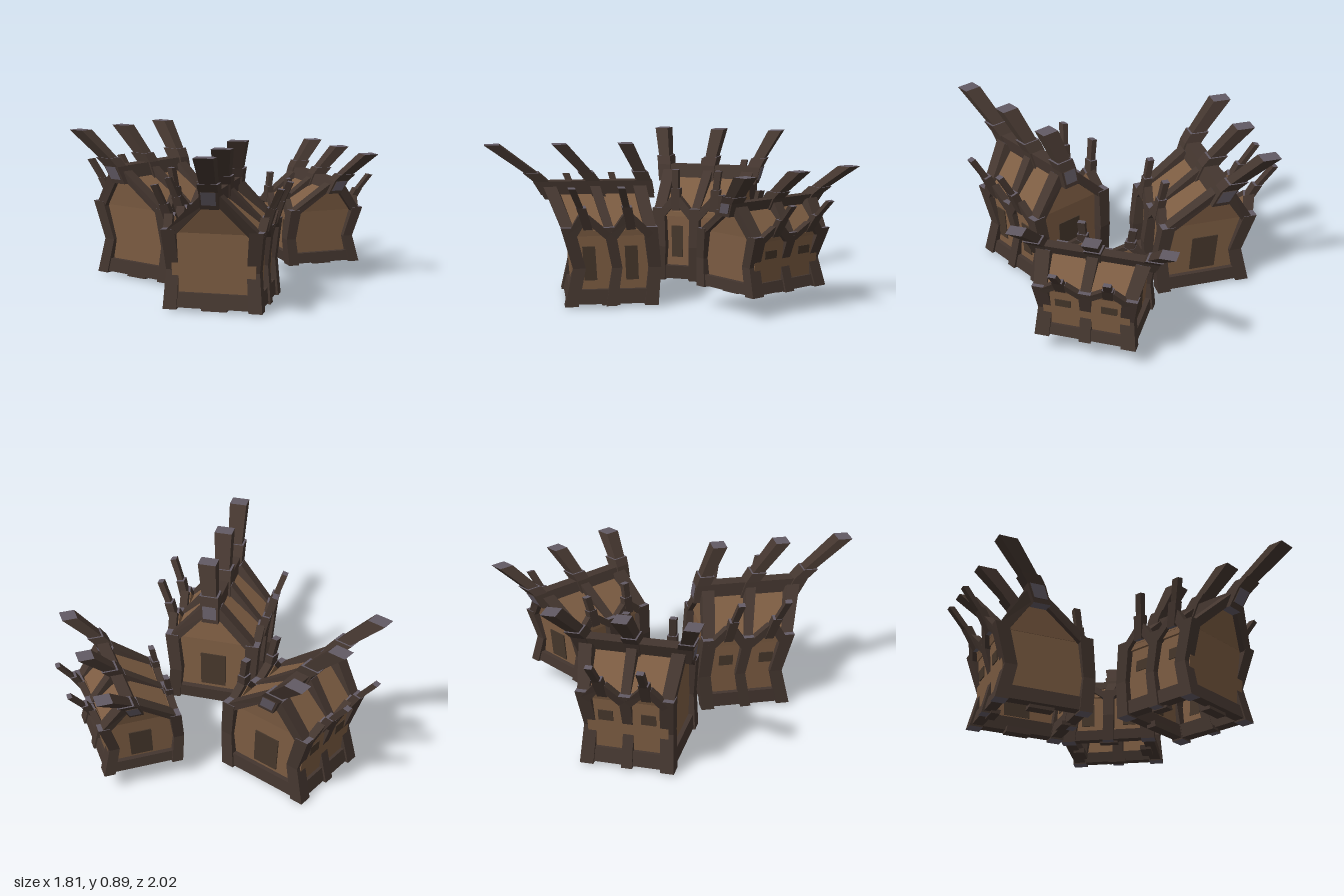
import * as THREE from 'three';

const mat = (name, color, side = THREE.FrontSide) => {
  const m = new THREE.MeshStandardMaterial({ color, side });
  m.name = name;
  return m;
};

// Radial flare by height: posts pinch at the waist, everything spreads at the top
const FLARE = [[0, 1], [0.22, 0.94], [0.45, 1.02], [0.58, 1.08], [0.68, 1.15], [0.73, 1.22], [0.89, 1.48]];
const flareAt = (y) => {
  if (y <= 0) return 1;
  for (let i = 1; i < FLARE.length; i++) {
    const [y0, f0] = FLARE[i - 1], [y1, f1] = FLARE[i];
    if (y <= y1) return f0 + (f1 - f0) * (y - y0) / (y1 - y0);
  }
  return FLARE[FLARE.length - 1][1];
};
// Wall panels stay flat from sill to eave
const WALL_Y0 = 0.06, WALL_Y1 = 0.45;
const flatFlareAt = (y) =>
  THREE.MathUtils.mapLinear(y, WALL_Y0, WALL_Y1, flareAt(WALL_Y0), flareAt(WALL_Y1));

// Box cut at every height where the flare bends
function cutBox(w, y0, y1, d) {
  const levels = [y0, ...FLARE.map((p) => p[0]).filter((y) => y > y0 + 0.005 && y < y1 - 0.005), y1];
  const n = levels.length - 1;
  const g = new THREE.BoxGeometry(w, 1, d, 1, n, 1);
  const p = g.attributes.position;
  for (let i = 0; i < p.count; i++) p.setY(i, levels[Math.round((p.getY(i) + 0.5) * n)]);
  return g;
}

// Thin plate standing between two heights
const plate = (w, y0, y1, d) => new THREE.BoxGeometry(w, y1 - y0, d).translate(0, (y0 + y1) / 2, 0);

// Four walls, open above and below
const openWalls = (w, d) => new THREE.CylinderGeometry(Math.SQRT1_2, Math.SQRT1_2, 1, 4, 1, true)
  .rotateY(Math.PI / 4).scale(w, WALL_Y1 - WALL_Y0, d).translate(0, (WALL_Y0 + WALL_Y1) / 2, 0);

// Triangular prism running along z
function prism(half, y0, y1, length) {
  const s = new THREE.Shape([new THREE.Vector2(-half, y0), new THREE.Vector2(half, y0), new THREE.Vector2(0, y1)]);
  return new THREE.ExtrudeGeometry(s, { depth: length, bevelEnabled: false }).translate(0, 0, -length / 2);
}

// Square beam between two points
function strut(a, b, w, d) {
  const A = new THREE.Vector3(...a), B = new THREE.Vector3(...b);
  const dir = B.clone().sub(A);
  const g = new THREE.BoxGeometry(w, dir.length(), d);
  g.applyQuaternion(new THREE.Quaternion().setFromUnitVectors(new THREE.Vector3(0, 1, 0), dir.normalize()));
  return g.translate((A.x + B.x) / 2, (A.y + B.y) / 2, (A.z + B.z) / 2);
}

function buildHouse(spec, M) {
  const house = new THREE.Group();
  house.name = spec.name;
  const place = new THREE.Matrix4().compose(
    new THREE.Vector3(spec.x, spec.lift, spec.z),
    new THREE.Quaternion().setFromAxisAngle(new THREE.Vector3(0, 1, 0), spec.turn),
    new THREE.Vector3(...spec.scale));
  const [qx, qz] = spec.pivot;

  // Place a part in the world, then flare it away from the pivot
  const add = (name, geo, material, flare = flareAt) => {
    const g = geo.index ? geo.toNonIndexed() : geo;
    const p = g.attributes.position, v = new THREE.Vector3();
    for (let i = 0; i < p.count; i++) {
      v.fromBufferAttribute(p, i);
      const f = flare(v.y);
      v.applyMatrix4(place);
      p.setXYZ(i, qx + (v.x - qx) * f, v.y, qz + (v.z - qz) * f);
    }
    g.computeVertexNormals();
    const m = new THREE.Mesh(g, material);
    m.name = name;
    house.add(m);
  };
  const b = M.beam, c = M.cap;
  const endsY = [b, b, c, c, b, b], endsZ = [b, b, b, b, c, c];

  // Flat walls, open underneath, and the roof
  add('walls', openWalls(0.46, 0.44), M.wall, flatFlareAt);
  add('roof', prism(0.25, 0.43, 0.63, 0.45), M.wall);

  // Sill frame and the blocks beneath it
  for (const s of [-1, 1]) {
    add('sideSill', cutBox(0.06, 0.02, 0.1, 0.46).translate(s * 0.23, 0, 0), b);
    add('endSill', cutBox(0.46, 0.02, 0.1, 0.06).translate(0, 0, s * 0.22), b);
    add('footBlock', cutBox(0.14, 0, 0.035, 0.06).translate(0, 0, s * 0.19), b);
    add('footBlock', cutBox(0.05, 0.005, 0.03, 0.1).translate(s * 0.2, 0, 0), b);
  }

  for (const s of [-1, 1]) {
    const lean = spec.leanSides.includes(s) ? 0.035 : 0;
    for (const z of [-0.222, 0, 0.222]) {
      // Waisted wall posts and the rafters above them
      add('wallPost', cutBox(0.075, 0.01, 0.45, z ? 0.075 : 0.06).translate(s * 0.235, 0, z), endsY);
      add('rafter', strut([s * 0.235, 0.42, z], [s * 0.03, 0.635, z], 0.05, z ? 0.065 : 0.05), endsY);
    }
    for (const z of [-0.116, 0.116]) {
      // Shallow pointed gable over each bay, with its spike
      add('bayGable', prism(0.09, 0.4, 0.5, 0.025).rotateY(Math.PI / 2).translate(s * 0.235, 0, z), M.wall);
      for (const t of [-1, 1]) {
        add('bayBrace', strut([s * 0.25, 0.4, z + t * 0.1], [s * 0.25, 0.505, z + t * 0.01], 0.045, 0.045), endsY);
      }
      add('spikeFoot', strut([s * 0.252, 0.44, z], [s * (0.255 + lean / 2), 0.57, z], 0.045, 0.05), endsY);
      add('spike', strut([s * 0.258, 0.5, z], [s * (0.262 + lean), 0.68, z], 0.032, 0.034), endsY);
      // Tall windows on one side, small ones on the other
      const tall = s === spec.tallSide;
      const [y0, y1] = tall ? [0.15, 0.34] : [0.27, 0.33];
      add(tall ? 'tallWindow' : 'smallWindow',
        plate(0.008, y0, y1, tall ? 0.07 : 0.08).translate(s * 0.232, 0, z), M.window, flatFlareAt);
    }
  }

  // Doorway panel on the back end
  add('backDoor', plate(0.15, 0.12, 0.33, 0.008).translate(0, 0, -0.222), M.window, flatFlareAt);

  // Ridge beam with collars and tall masts
  add('ridgeBeam', cutBox(0.07, 0.605, 0.68, 0.58), endsZ);
  for (const z of [-0.25, 0, 0.25]) {
    add('mastCollar', cutBox(0.09, 0.58, 0.73, 0.07).translate(0, 0, z), endsY);
    add('mast', cutBox(0.07, 0.6, 0.89, 0.055).translate(0, 0, z), endsY);
  }
  return house;
}

export function createModel() {
  const M = {
    wall: mat('wall planks', 0x7c5c42, THREE.DoubleSide),
    beam: mat('dark timber', 0x44362f),
    cap: mat('cut timber ends', 0x625a64),
    window: mat('window shade', 0x46372b),
  };
  const model = new THREE.Group();
  model.name = 'timberHouses';
  const houses = [
    { name: 'backRightHouse', x: -0.39, z: -0.48, lift: 0, turn: -0.757, scale: [1.02, 1, 1], pivot: [0.05, -0.06], tallSide: 1, leanSides: [-1] },
    { name: 'backLeftHouse', x: 0.5, z: -0.355, lift: 0.11, turn: 0.252, scale: [0.82, 0.74, 1.08], pivot: [0.05, -0.15], tallSide: -1, leanSides: [1] },
    { name: 'frontHouse', x: -0.07, z: 0.325, lift: 0, turn: -0.326, scale: [1.01, 1, 1], pivot: [-0.01, -0.25], tallSide: 1, leanSides: [-1, 1] },
  ];
  for (const spec of houses) model.add(buildHouse(spec, M));
  return model;
}
